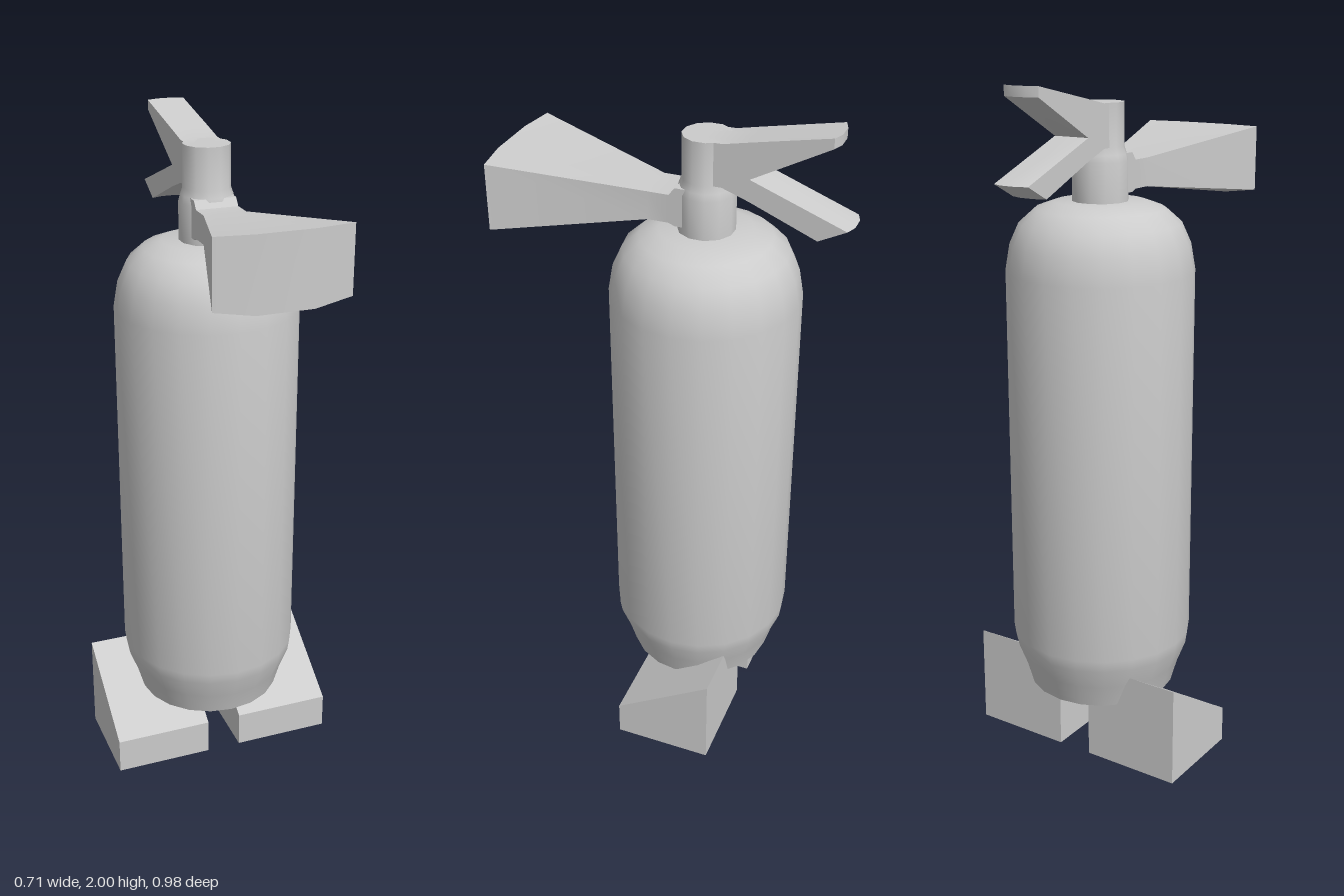
import * as THREE from 'three';
import { toCreasedNormals } from 'three/addons/utils/BufferGeometryUtils.js';

const material = new THREE.MeshStandardMaterial({ color: 0xcccccc });
const AXIS_Z = -0.08; // the bottle's axis

function part(name, geometry, parent) {
  const mesh = new THREE.Mesh(geometry, material);
  mesh.name = name;
  parent.add(mesh);
  return mesh;
}

// Turned part from [radius, y] pairs
function turned(profile, sides, startAngle = 0) {
  const points = profile.map(([r, y]) => new THREE.Vector2(r, y));
  const geometry = new THREE.LatheGeometry(points, sides, startAngle);
  return toCreasedNormals(geometry, 0.65);
}

// Loft along z through 8-point sections, ordered from back to front.
// bow pushes the middle of a section along z, sag lowers the middle of its underside.
function loft(sections) {
  const loops = sections.map(({ top, bottom, w, bow = 0, sag = 0 }) => {
    const xs = [w, w * 0.42, -w * 0.42, -w];
    const bows = [0, bow, bow, 0];
    const upper = xs.map((x, i) => [x, top[1], top[0] + bows[i]]);
    const lower = xs.map((x, i) => [x, bottom[1] - (bows[i] || i % 3 ? sag : 0), bottom[0] + bows[i]]);
    return [...upper, ...lower.reverse()];
  });
  const positions = [];
  const tri = (a, b, c) => positions.push(...a, ...b, ...c);
  for (let i = 0; i < loops.length - 1; i++) {
    for (let j = 0; j < 8; j++) {
      const k = (j + 1) % 8;
      const [a, b, c, d] = [loops[i][j], loops[i][k], loops[i + 1][k], loops[i + 1][j]];
      tri(a, b, c);
      tri(a, c, d);
    }
  }
  // End caps, as strips between upper and lower edge
  const back = loops[0], front = loops[loops.length - 1];
  for (let j = 0; j < 3; j++) {
    tri(front[j], front[j + 1], front[6 - j]);
    tri(front[j], front[6 - j], front[7 - j]);
    tri(back[j], back[6 - j], back[j + 1]);
    tri(back[j], back[7 - j], back[6 - j]);
  }
  const geometry = new THREE.BufferGeometry();
  geometry.setAttribute('position', new THREE.Float32BufferAttribute(positions, 3));
  return toCreasedNormals(geometry, 0.4);
}

export function createModel() {
  const model = new THREE.Group();
  model.name = 'fireExtinguisher';

  // Bottle with rounded shoulders and a tapered base
  part('bottle', turned([
    [0, 0.2], [0.22, 0.2], [0.24, 0.27], [0.265, 0.335], [0.27, 0.37],
    [0.27, 1.475], [0.257, 1.55], [0.23, 1.61], [0.185, 1.65], [0.13, 1.67], [0, 1.67],
  ], 20), model).position.z = AXIS_Z;

  // Valve neck, slimmer above the horn
  part('valveNeck', turned([
    [0, 1.65], [0.08, 1.65], [0.08, 1.78], [0.075, 1.8], [0.068, 1.82], [0.068, 1.94], [0, 1.94],
  ], 12, Math.PI / 12), model).position.z = AXIS_Z;

  // Handles with bowed tips
  const handleWidth = 0.055;
  part('upperHandle', loft([
    { top: [-0.43, 2], bottom: [-0.43, 1.972], w: handleWidth, bow: -0.012 },
    { top: [-0.215, 1.956], bottom: [-0.215, 1.855], w: handleWidth },
    { top: [-0.14, 1.94], bottom: [-0.14, 1.82], w: handleWidth },
    { top: [-0.08, 1.94], bottom: [-0.08, 1.82], w: handleWidth },
  ]), model);
  part('lowerHandle', loft([
    { top: [-0.48, 1.755], bottom: [-0.403, 1.715], w: handleWidth, bow: -0.012 },
    { top: [-0.215, 1.855], bottom: [-0.215, 1.793], w: handleWidth },
    { top: [-0.14, 1.89], bottom: [-0.14, 1.82], w: handleWidth },
    { top: [-0.08, 1.89], bottom: [-0.08, 1.82], w: handleWidth },
  ]), model);

  // Flared discharge horn
  part('horn', loft([
    { top: [-0.06, 1.8], bottom: [-0.06, 1.69], w: 0.062 },
    { top: [-0.012, 1.8], bottom: [-0.012, 1.69], w: 0.062 },
    { top: [0.005, 1.778], bottom: [0.005, 1.697], w: 0.062 },
    { top: [0.065, 1.778], bottom: [0.065, 1.697], w: 0.062 },
    { top: [0.476, 1.84], bottom: [0.476, 1.65], w: 0.19, bow: 0.016, sag: 0.016 },
  ]), model);

  // Wedge feet, drawn in side profile (shape x = -z)
  const wedge = new THREE.Shape([
    new THREE.Vector2(-0.067, 0), new THREE.Vector2(0.23, 0),
    new THREE.Vector2(0.23, 0.302), new THREE.Vector2(-0.067, 0.11),
  ]);
  const footWidth = 0.3;
  const footGeometry = new THREE.ExtrudeGeometry(wedge, { depth: footWidth, bevelEnabled: false });
  footGeometry.rotateY(Math.PI / 2);
  part('leftFoot', footGeometry, model).position.x = 0.053;
  part('rightFoot', footGeometry, model).position.x = -0.053 - footWidth;

  return model;
}
